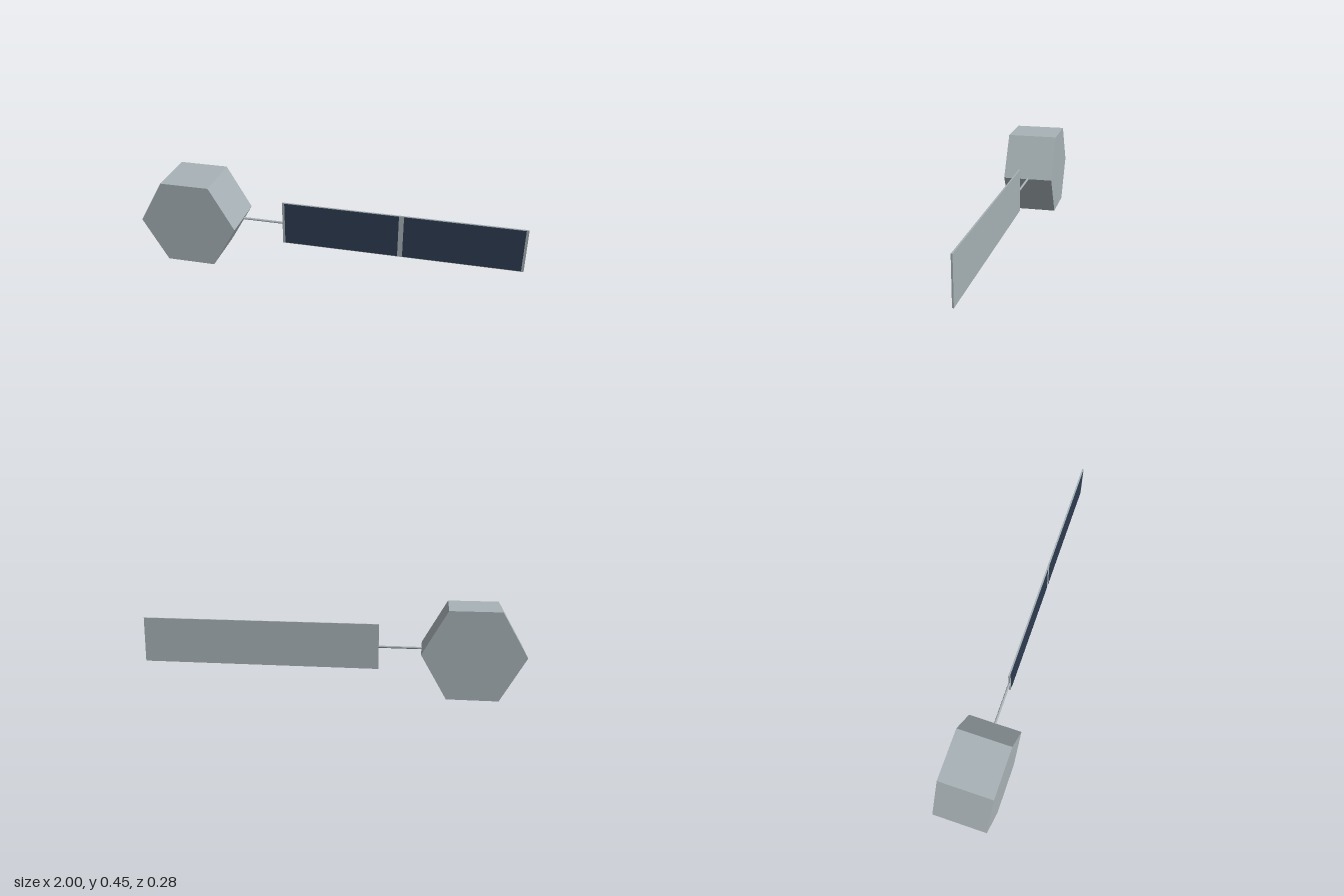
import * as THREE from 'three';

export function createModel() {
  const model = new THREE.Group();
  const metal = new THREE.MeshStandardMaterial({ color: 0xa8b2b6 });
  metal.name = 'pale grey metal';
  metal.flatShading = true;
  const cellBlue = new THREE.MeshStandardMaterial({ color: 0x2d3c50 });
  cellBlue.name = 'dark blue cells';

  const midY = 0.226;
  const add = (name, geometry, material, x, y, z) => {
    const mesh = new THREE.Mesh(geometry, material);
    mesh.name = name;
    mesh.position.set(x, y, z);
    model.add(mesh);
    return mesh;
  };

  // Hexagonal body: prism along z, corners pointing left and right
  const R = 0.26;
  const hex = new THREE.CylinderGeometry(R, R, 0.279, 6);
  hex.rotateY(Math.PI / 6);
  hex.rotateX(Math.PI / 2);
  hex.scale(1, midY / (R * Math.cos(Math.PI / 6)), 1);
  add('body', hex, metal, -0.74, midY, 0);

  // Thin boom joining the body to the panel
  const boom = new THREE.CylinderGeometry(0.0062, 0.0062, 0.24, 8);
  boom.rotateZ(Math.PI / 2);
  add('boom', boom, metal, -0.378, midY, 0);

  // Flat panel with two cell fields on its front
  const thickness = 0.008;
  add('panelFrame', new THREE.BoxGeometry(1.26, 0.238, thickness), metal, 0.37, midY, 0);
  for (const side of [-1, 1]) {
    add(side < 0 ? 'innerCells' : 'outerCells',
      new THREE.BoxGeometry(0.604, 0.232, 0.001), cellBlue,
      0.37 + side * 0.315, midY, thickness / 2 + 0.0005);
  }
  return model;
}
